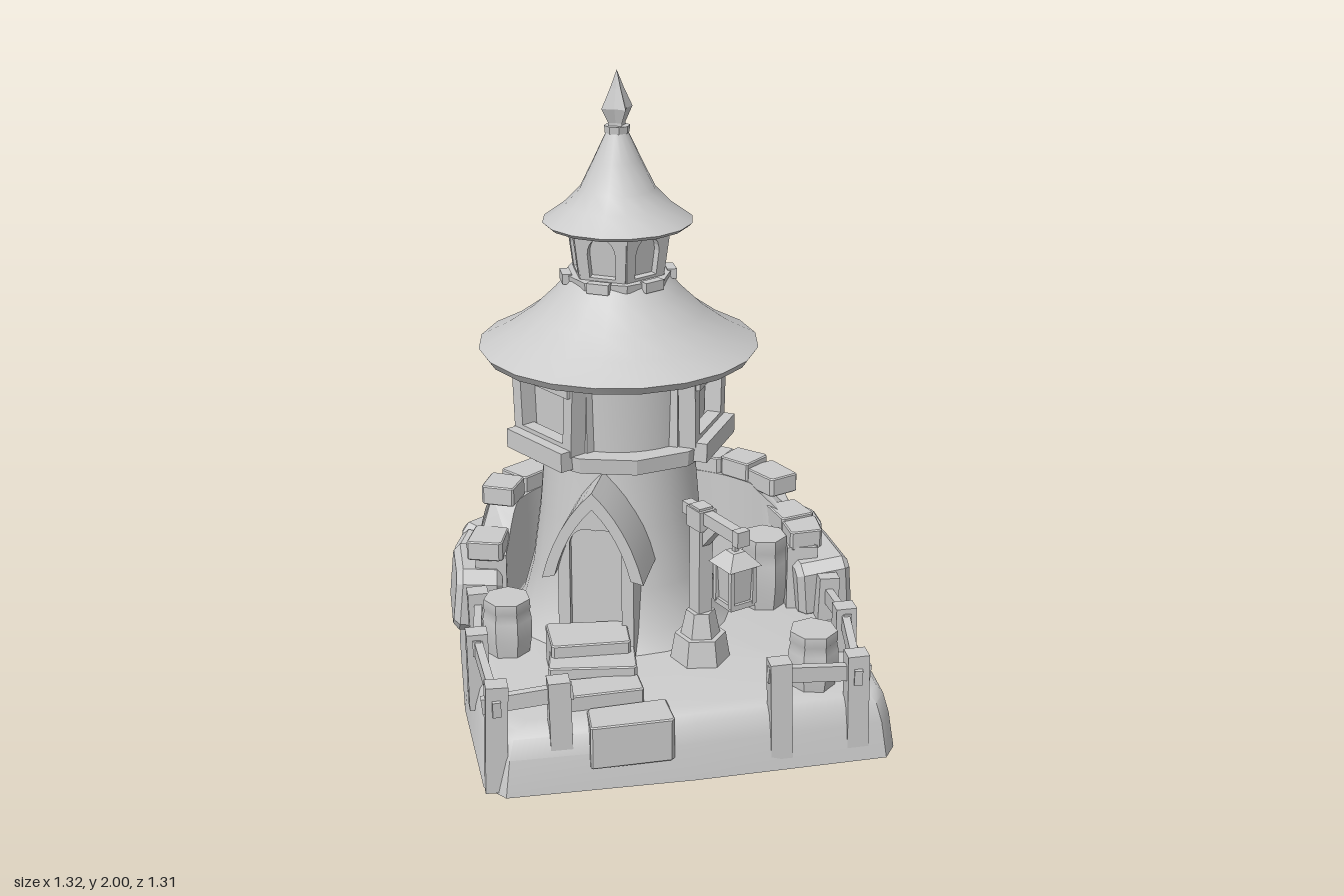
import * as THREE from 'three';
import { toCreasedNormals } from 'three/addons/utils/BufferGeometryUtils.js';

const smoothMat = new THREE.MeshStandardMaterial({ color: 0xcccccc, side: THREE.DoubleSide });
const flatMat = new THREE.MeshStandardMaterial({ color: 0xcccccc, flatShading: true });
const AX = -0.1, AZ = -0.14; // tower axis
const rad = THREE.MathUtils.degToRad;
const V2 = (p) => p.map(([x, y]) => new THREE.Vector2(x, y));

export function createModel() {
  const root = new THREE.Group();
  root.name = 'watchtower';

  const add = (parent, name, geo, [x, y, z] = [0, 0, 0], yaw = 0, mat = flatMat) => {
    const m = new THREE.Mesh(geo, mat);
    m.name = name;
    m.position.set(x, y, z);
    m.rotation.y = yaw;
    parent.add(m);
    return m;
  };
  const group = (name, x, z, yaw = 0) => {
    const g = new THREE.Group();
    g.name = name;
    g.position.set(x, 0, z);
    g.rotation.y = yaw;
    root.add(g);
    return g;
  };
  const box = (w, h, d) => new THREE.BoxGeometry(w, h, d);
  const crease = (g, a = 40) => toCreasedNormals(g, rad(a));
  const lathe = (pts, n, start = 0, len = Math.PI * 2) => crease(new THREE.LatheGeometry(V2(pts), n, start, len));

  // Hewn stone: an irregular outline in xy with cut corners, extruded along z with chamfered edges
  const stone = (w, h, d, seed, cut, bevel) => {
    const pts = [];
    [[1, 1], [-1, 1], [-1, -1], [1, -1]].forEach(([sx, sy], i) => {
      const x = sx * (w / 2 - bevel) * (0.97 + 0.07 * Math.sin(seed * 5.3 + i * 2.1));
      const y = sy * (h / 2 - bevel) * (0.95 + 0.1 * Math.sin(seed * 3.1 + i * 4.7));
      const c = cut * (1 + 0.5 * Math.sin(seed * 2.7 + i * 3.3));
      const pair = [[x, y - sy * c], [x - sx * c, y]];
      pts.push(...(sx === sy ? pair : pair.reverse()));
    });
    return new THREE.ExtrudeGeometry(new THREE.Shape(V2(pts)), {
      depth: d - 2 * bevel, bevelEnabled: true, bevelSize: bevel, bevelThickness: bevel, bevelSegments: 1,
    }).translate(0, 0, bevel - d / 2);
  };
  const slab = (w, h, d, seed) => stone(w, d, h, seed, 0.006, 0.004).rotateX(-Math.PI / 2);

  // Ground block: lofted irregular square with a softened top rim
  const outline = [[-0.57, 0.645], [0, 0.645], [0.6, 0.62], [0.64, 0.56], [0.65, 0], [0.63, -0.35], [0.6, -0.56],
    [0.53, -0.61], [0, -0.645], [-0.5, -0.62], [-0.59, -0.58], [-0.62, -0.4], [-0.645, 0.1], [-0.63, 0.57]];
  const layers = [[0.005, 1], [0.12, 0.975], [0.18, 0.95], [0.202, 0.92], [0.21, 0.86]];
  const pos = [], idx = [], n = outline.length;
  for (const [y, s] of layers) for (const [x, z] of outline) pos.push(x * s, y, z * s);
  pos.push(0, layers[0][0], 0, 0, 0.212, 0);
  const top = (layers.length - 1) * n, c = layers.length * n;
  for (let i = 0; i < n; i++) {
    const j = (i + 1) % n;
    for (let l = 0; l < top; l += n) idx.push(l + i, l + j, l + n + j, l + i, l + n + j, l + n + i);
    idx.push(c, j, i, c + 1, top + i, top + j);
  }
  const ground = new THREE.BufferGeometry();
  ground.setAttribute('position', new THREE.Float32BufferAttribute(pos, 3));
  ground.setIndex(idx);
  add(root, 'ground', crease(ground, 50), [0, 0, 0], 0, smoothMat);

  // Tower shaft, roofs and lantern room
  const tower = group('tower', AX, AZ);
  add(tower, 'shaft', lathe([[0.37, 0.2], [0.32, 0.27], [0.285, 0.4], [0.258, 0.6], [0.236, 0.86]], 24), [0, 0, 0], 0, smoothMat);
  add(tower, 'galleryRing', new THREE.CylinderGeometry(0.34, 0.335, 0.05, 12), [0, 0.842, 0]);
  add(tower, 'lowerRoof', lathe([[0.1, 1.15], [0.425, 1.115], [0.442, 1.14], [0.35, 1.188], [0.27, 1.245], [0.2, 1.312],
    [0.15, 1.37]], 20), [0, 0, 0], 0, smoothMat);
  add(tower, 'roofCollar', new THREE.CylinderGeometry(0.175, 0.172, 0.025, 8), [0, 1.36, 0]);
  add(tower, 'lanternCore', new THREE.CylinderGeometry(0.147, 0.124, 0.18, 6), [0, 1.45, 0]);
  add(tower, 'upperRoof', lathe([[0.04, 1.55], [0.222, 1.525], [0.235, 1.537], [0.165, 1.588], [0.118, 1.637], [0.075, 1.725],
    [0.03, 1.82]], 16), [0, 0, 0], 0, smoothMat);
  add(tower, 'finialCollar', new THREE.CylinderGeometry(0.04, 0.038, 0.022, 8), [0, 1.82, 0]);

  // Finial: a spike with a four-pointed star section
  const spike = new THREE.LatheGeometry(V2([[0.03, 1.82], [0.03, 1.84], [0.054, 1.885], [0.024, 1.945], [0, 2]]), 8);
  const sp = spike.attributes.position;
  for (let i = 0; i < sp.count; i++) {
    const k = Math.abs(sp.getX(i) * sp.getZ(i)) > 1e-6 ? 0.55 : 1;
    sp.setXYZ(i, sp.getX(i) * k, sp.getY(i), sp.getZ(i) * k);
  }
  add(tower, 'finial', spike, [0, 0, 0], 0.35);

  // Arched openings around the lantern room
  const panel = new THREE.Shape(V2([[-0.073, 0], [0.073, 0], [0.086, 0.165], [-0.086, 0.165]]));
  const arch = new THREE.Path();
  arch.moveTo(-0.042, 0.015).lineTo(-0.046, 0.09).quadraticCurveTo(-0.042, 0.14, 0, 0.147);
  arch.quadraticCurveTo(0.042, 0.14, 0.046, 0.09).lineTo(0.042, 0.015);
  panel.holes.push(arch);
  const panelGeo = new THREE.ExtrudeGeometry(panel, { depth: 0.022, bevelEnabled: false, curveSegments: 5 });
  panelGeo.rotateX(0.12).translate(0, 1.37, 0.11);
  for (let i = 0; i < 6; i++) {
    const a = rad(30 + i * 60);
    add(tower, 'archedOpening', panelGeo, [0, 0, 0], a);
    add(tower, 'collarBlock', box(0.07, 0.032, 0.03), [0.165 * Math.sin(a), 1.361, 0.165 * Math.cos(a)], a);
  }

  // Upper room: three curved walls alternating with three framed windows
  for (const deg of [0, 120, 240]) {
    add(tower, 'roomWall', lathe([[0.268, 0.86], [0.275, 1.15]], 8, rad(deg - 34), rad(68)), [0, 0, 0], 0, smoothMat);
    const w = new THREE.Group();
    w.name = 'window';
    w.rotation.y = rad(deg + 60);
    tower.add(w);
    add(w, 'pane', box(0.3, 0.28, 0.03), [0, 1.0, 0.235]);
    add(w, 'sill', box(0.28, 0.062, 0.075), [0, 0.855, 0.305]);
    add(w, 'sillCap', box(0.26, 0.02, 0.045), [0, 0.89, 0.285]);
    add(w, 'lintel', box(0.29, 0.046, 0.06), [0, 1.083, 0.29]);
    for (const s of [-1, 1])
      add(w, 'windowPost', box(0.042, 0.24, 0.055), [s * 0.128, 0.985, 0.28]).rotation.z = -s * 0.05;
  }

  // Porch with a pointed, flared roof
  const porch = group('porch', AX, AZ, rad(-21));
  const gable = (w, y0, spring, peak) => {
    const s = new THREE.Shape();
    s.moveTo(-w, y0).lineTo(w, y0).lineTo(w, spring).quadraticCurveTo(w * 0.8, (spring + peak) / 2 + 0.04, 0, peak);
    s.quadraticCurveTo(-w * 0.8, (spring + peak) / 2 + 0.04, -w, spring).lineTo(-w, y0);
    return s;
  };
  const extrude = (s, depth) => crease(new THREE.ExtrudeGeometry(s, { depth, bevelEnabled: false, curveSegments: 6 }), 30);
  const front = gable(0.12, 0.2, 0.5, 0.735);
  front.holes.push(gable(0.082, 0.21, 0.6, 0.645));
  add(porch, 'doorFrame', extrude(front, 0.2), [0, 0, 0.17], 0, smoothMat);
  add(porch, 'door', extrude(gable(0.09, 0.2, 0.6, 0.655), 0.14), [0, 0, 0.205], 0, smoothMat);
  const roof = new THREE.Shape();
  roof.moveTo(0.16, 0.495).quadraticCurveTo(0.115, 0.68, 0, 0.79).quadraticCurveTo(-0.115, 0.68, -0.16, 0.495);
  roof.lineTo(-0.12, 0.505).quadraticCurveTo(-0.085, 0.65, 0, 0.735).quadraticCurveTo(0.085, 0.65, 0.12, 0.505);
  add(porch, 'porchRoof', extrude(roof, 0.235), [0, 0, 0.18], 0, smoothMat);

  // Steps down to the front edge
  [[-0.26, 0.27, 0.26, 0.13, 0.16, -0.06], [-0.26, 0.35, 0.28, 0.09, 0.14, -0.1], [-0.255, 0.475, 0.25, 0.06, 0.11, 0.04],
    [-0.195, 0.585, 0.255, 0.14, 0.13, 0.06]].forEach(([x, z, w, h, d, yaw], i) =>
    add(root, 'step', slab(w, h, d, i + 1), [x, i < 3 ? 0.2 + h / 2 : 0.15, z], yaw));

  // Curved wall behind the tower, lower at its two ends
  const wallTop = (deg) => 0.545 - 0.115 * THREE.MathUtils.smoothstep(Math.abs(deg - 90), 60, 78);
  const ring = new THREE.Shape();
  ring.absellipse(-0.02, 0.08, 0.56, 0.53, rad(-8), rad(174), false);
  ring.absellipse(-0.02, 0.08, 0.46, 0.43, rad(174), rad(-8), true);
  const wall = new THREE.ExtrudeGeometry(ring, { depth: 1, bevelEnabled: false, curveSegments: 28 }).rotateX(-Math.PI / 2);
  const wp = wall.attributes.position;
  for (let i = 0; i < wp.count; i++) {
    let a = THREE.MathUtils.radToDeg(Math.atan2(-wp.getZ(i) - 0.08, wp.getX(i) + 0.02));
    if (a < -90) a += 360;
    wp.setY(i, wp.getY(i) > 0.5 ? wallTop(a) : 0.18);
  }
  add(root, 'curvedWall', crease(wall, 30), [0, 0, 0], 0, smoothMat);
  [0, 13, 27, 41, 56, 72, 95, 114, 132, 150, 168].forEach((deg, i) => {
    const a = rad(deg);
    add(root, 'capStone', slab(0.125 + 0.012 * (i % 3), 0.065, 0.12, i),
      [-0.02 + 0.516 * Math.cos(a), wallTop(deg) + 0.022 + 0.01 * (i % 2), -0.08 - 0.486 * Math.sin(a)],
      a + Math.PI / 2 + 0.1 * Math.sin(i * 3));
  });

  // Boulders along the outside of the wall: x, z, length, height, depth, yaw in degrees (local +z faces outward)
  [[0.545, -0.13, 0.34, 0.21, 0.18, 93], [0.485, -0.45, 0.34, 0.23, 0.2, 124], [0.28, -0.55, 0.25, 0.2, 0.16, 168],
    [0.04, -0.565, 0.27, 0.2, 0.16, 180], [-0.21, -0.555, 0.25, 0.21, 0.16, 186], [-0.45, -0.5, 0.27, 0.23, 0.18, 220],
    [-0.545, -0.37, 0.17, 0.19, 0.16, 250], [-0.57, -0.22, 0.29, 0.22, 0.15, 268]].forEach(([x, z, w, h, d, yaw], i) => {
    const b = add(root, 'boulder', stone(w, h, d, i + 1, 0.022, 0.02), [x, 0.285, z], rad(yaw));
    b.rotation.order = 'YXZ';
    b.rotation.x = -0.1;
  });

  // Barrels: x, z, height factor
  const barrel = lathe([[0, 0], [0.07, 0], [0.079, 0.06], [0.079, 0.12], [0.073, 0.15], [0.076, 0.155], [0.074, 0.185], [0, 0.185]], 7);
  for (const [x, z, k] of [[-0.5, 0.1, 1], [0.395, 0.48, 1], [0.37, -0.08, 1.35]])
    add(root, 'barrel', barrel, [x, 0.208, z], 0.3, smoothMat).scale.y = k;

  // Fences: posts x, z, bottom; rails join neighbours
  const fences = [[[-0.58, -0.03, 0.18], [-0.61, 0.25, 0.1], [-0.59, 0.59, 0.01], [-0.4, 0.595, 0.05]],
    [[0.55, 0.06, 0.18], [0.55, 0.28, 0.18], [0.505, 0.59, 0.05], [0.265, 0.6, 0.04]]];
  for (const posts of fences) posts.forEach(([x, z, y0], i) => {
    const post = add(root, 'fencePost', box(0.066, 0.36 - y0, 0.058), [x, (0.36 + y0) / 2, z]);
    post.rotation.z = 0.03 * Math.sin(i * 2 + x * 9);
    if (i === 0) return;
    const [px, pz] = posts[i - 1];
    const rail = add(root, 'fenceRail', box(0.025, 0.05, Math.hypot(x - px, z - pz) + 0.08), [(x + px) / 2, 0.305, (z + pz) / 2]);
    rail.lookAt(x, 0.305 + 0.01 * (i % 2 ? 1 : -1), z);
  });

  // Lamp post with a hanging lantern
  const lamp = group('lampPost', 0.09, 0.255, 0.4);
  add(lamp, 'lampFoot', new THREE.CylinderGeometry(0.08, 0.095, 0.09, 6), [0, 0.25, 0]);
  add(lamp, 'lampFootTop', new THREE.CylinderGeometry(0.045, 0.062, 0.08, 6), [0, 0.335, 0]);
  add(lamp, 'post', box(0.05, 0.4, 0.055), [0, 0.53, 0]);
  add(lamp, 'postCap', box(0.06, 0.065, 0.075), [0, 0.69, 0]);
  add(lamp, 'arm', box(0.035, 0.04, 0.3), [0, 0.7, 0.07]);
  add(lamp, 'armEnd', box(0.045, 0.05, 0.03), [0, 0.7, 0.21]);
  add(lamp, 'brace', box(0.028, 0.11, 0.03), [0, 0.65, 0.05]).rotation.x = 0.75;
  add(lamp, 'hook', box(0.015, 0.06, 0.015), [0, 0.66, 0.182]);
  const q = Math.PI / 4;
  add(lamp, 'lanternRoof', new THREE.CylinderGeometry(0.03, 0.082, 0.042, 4), [0, 0.627, 0.182], q);
  add(lamp, 'lanternGlass', new THREE.CylinderGeometry(0.06, 0.048, 0.13, 4), [0, 0.545, 0.182], q);
  add(lamp, 'lanternBase', box(0.088, 0.018, 0.088), [0, 0.48, 0.182]);
  for (const sx of [-1, 1]) for (const sz of [-1, 1])
    add(lamp, 'lanternBar', box(0.014, 0.13, 0.014), [sx * 0.04, 0.545, 0.182 + sz * 0.04]);

  return root;
}
